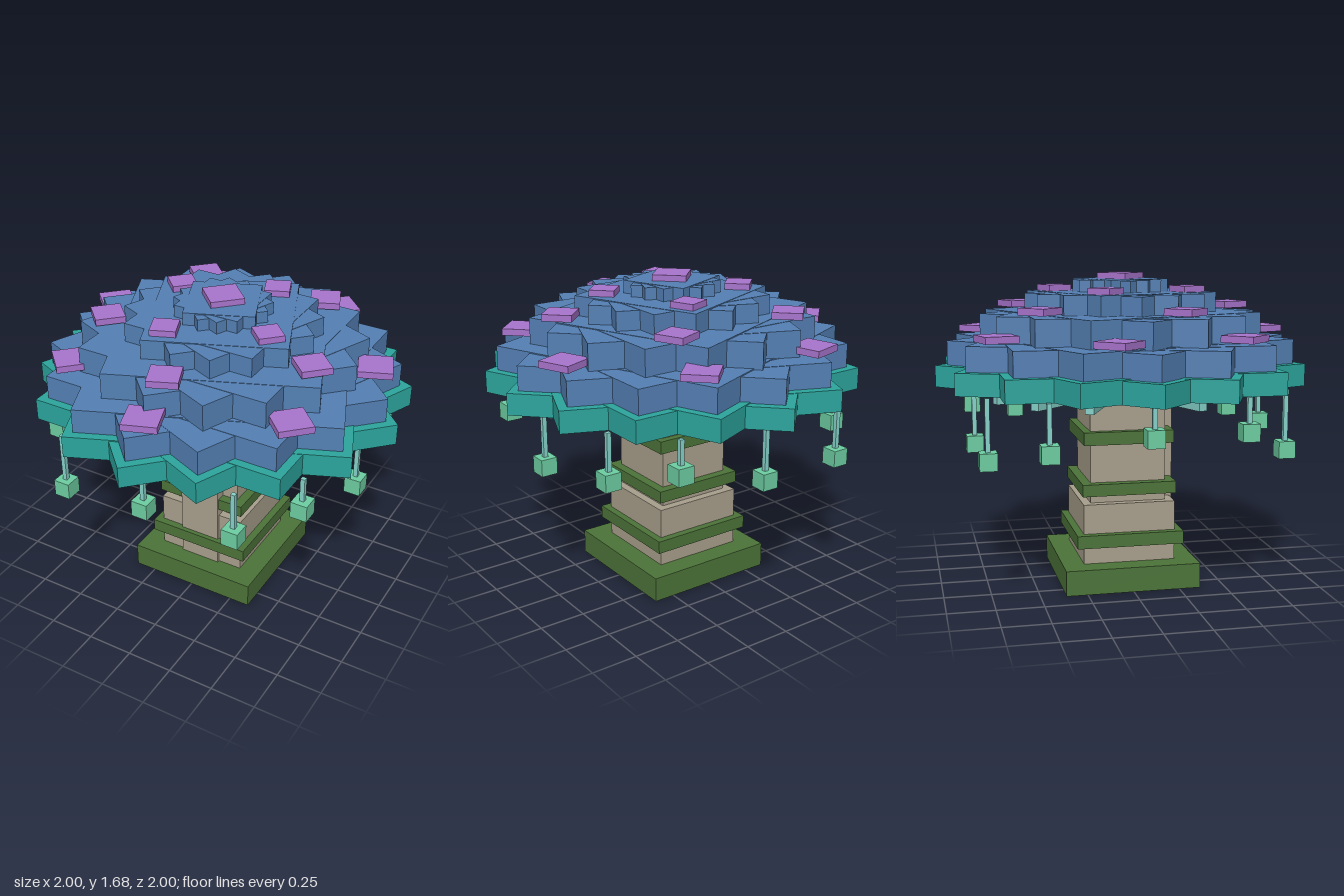
import * as THREE from 'three';

export function createModel() {
  const model = new THREE.Group();
  model.name = 'blockyTree';

  const mat = (name, color) => {
    const m = new THREE.MeshStandardMaterial({ color });
    m.name = name;
    return m;
  };
  const moss = mat('moss green', 0x4c7339);
  const bark = mat('bark beige', 0xa89f8c);
  const teal = mat('canopy teal', 0x2ca59d);
  const blue = mat('canopy blue', 0x5480b4);
  const purple = mat('blossom purple', 0xa874cc);
  const strutMat = mat('branch aqua', 0x86d2ca);
  const lanternMat = mat('lantern mint', 0x6dcda2);

  // Box between two heights, centred on (x, z) and turned about y
  const box = (parent, name, material, w, d, y0, y1, x = 0, z = 0, turn = 0) => {
    const mesh = new THREE.Mesh(new THREE.BoxGeometry(w, y1 - y0, d), material);
    mesh.name = name;
    mesh.position.set(x, (y0 + y1) / 2, z);
    mesh.rotation.y = turn;
    parent.add(mesh);
    return mesh;
  };
  const group = (name) => {
    const g = new THREE.Group();
    g.name = name;
    model.add(g);
    return g;
  };

  // Base, trunk and moss bands
  const trunk = group('trunk');
  box(trunk, 'base', moss, 0.73, 0.73, 0, 0.135);
  box(trunk, 'lowerTrunk', bark, 0.5, 0.5, 0.135, 0.46);
  box(trunk, 'upperTrunk', bark, 0.41, 0.41, 0.46, 1.05);
  box(trunk, 'frontRib', bark, 0.23, 0.16, 0.135, 1.05, 0, 0.185);
  const bands = [[0.58, 0.23, 0.3], [0.51, 0.505, 0.57], [0.49, 0.78, 0.85], [0.45, 1.01, 1.09]];
  for (const [w, y0, y1] of bands) box(trunk, 'mossBand', moss, w, w, y0, y1);

  // Canopy tiers: four turned square slabs make a sixteen-pointed star
  const canopy = group('canopy');
  const tier = (name, material, radius, y0, y1) => {
    const side = radius * Math.SQRT2;
    for (let i = 0; i < 4; i++) {
      const lift = i * 0.002;
      box(canopy, name, material, side, side, y0 + lift * 0.3, y1 + lift, 0, 0, Math.PI / 4 + i * Math.PI / 8);
    }
  };
  tier('canopyRim', teal, 1, 1.085, 1.2);
  tier('canopyTier', blue, 0.935, 1.2, 1.33);
  tier('canopyTier', blue, 0.76, 1.33, 1.47);
  tier('canopyTier', blue, 0.52, 1.47, 1.575);
  tier('canopyTier', blue, 0.26, 1.575, 1.643);

  // Blossom tiles: [x, z, turn in degrees] per ring
  const blossoms = group('blossoms');
  const rings = [
    { size: 0.18, y: 1.35, spots: [[-0.37, -0.71, 15], [0.34, -0.72, 45], [0.78, -0.2, 22], [0.64, 0.48, 45],
      [0.02, 0.8, 20], [-0.61, 0.51, 45], [-0.79, -0.17, 45]] },
    { size: 0.16, y: 1.485, spots: [[-0.39, -0.49, 45], [0.34, -0.52, 23], [0.59, 0.16, 45],
      [0.025, 0.61, 23], [-0.58, 0.21, 45]] },
    { size: 0.135, y: 1.578, spots: [[0.14, -0.34, 22], [0.335, 0.14, 45], [-0.145, 0.335, 22], [-0.335, -0.145, 45]] },
    { size: 0.18, y: 1.645, spots: [[0, 0, 45]] },
  ];
  for (const { size, y, spots } of rings)
    for (const [x, z, deg] of spots)
      box(blossoms, 'blossom', purple, size, size, y, y + 0.036, x, z, THREE.MathUtils.degToRad(deg));

  // Branches radiating under the canopy
  const branches = group('branches');
  for (const deg of [0, 22.5, 45, 160, 203, 225, 248, 315, 338]) {
    const a = THREE.MathUtils.degToRad(deg);
    const r = 0.47;
    box(branches, 'branch', strutMat, 0.6, 0.045, 1.025, 1.08, r * Math.cos(a), r * Math.sin(a), -a);
  }

  // Hanging lanterns: [x, z, height of the cube's bottom]
  const low = 0.73, mid = 0.8, high = 0.87;
  const lanterns = group('lanterns');
  const hung = [
    [0.8, 0, low], [0.73, 0.5, high], [0.5, 0.775, mid], [0, 0.8, mid],
    [-0.5, 0.775, low], [-0.73, 0.5, high], [-0.8, 0, high], [-0.73, -0.5, mid],
    [-0.5, -0.775, low], [0, -0.8, low], [0.5, -0.775, high], [0.73, -0.5, mid],
  ];
  for (const [x, z, y] of hung) {
    box(lanterns, 'lantern', lanternMat, 0.09, 0.09, y, y + 0.09, x, z);
    box(lanterns, 'lanternStem', strutMat, 0.024, 0.024, y + 0.09, 1.09, x, z);
  }

  return model;
}
